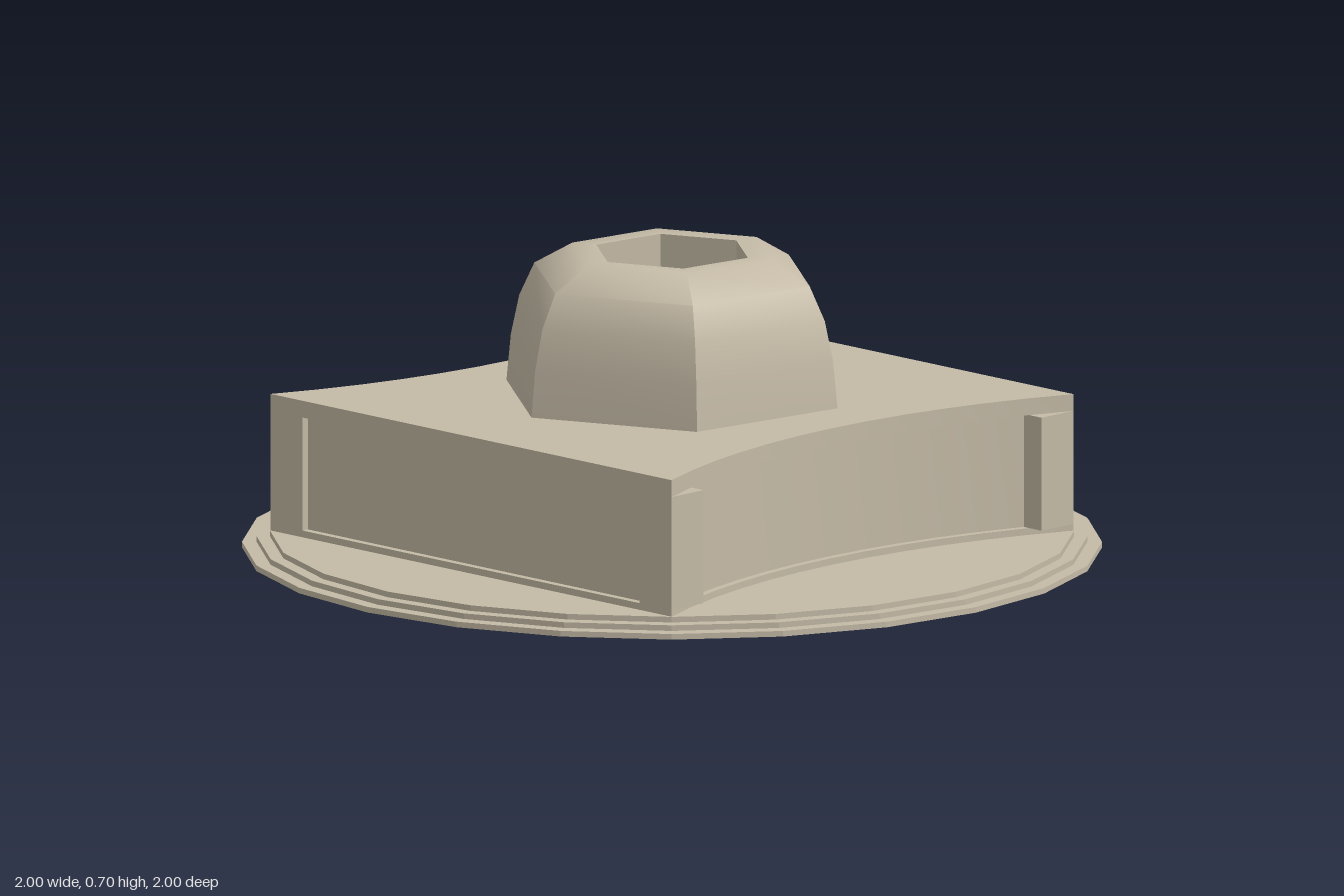
import * as THREE from 'three';
import { toCreasedNormals } from 'three/addons/utils/BufferGeometryUtils.js';

const stone = new THREE.MeshStandardMaterial({ color: 0xc4baa6 });
stone.name = 'warm stone';

function add(group, name, geometry, x = 0, y = 0, z = 0) {
  const mesh = new THREE.Mesh(geometry, stone);
  mesh.name = name;
  mesh.position.set(x, y, z);
  group.add(mesh);
}

// Square slab whose two x sides curve inward; inset shrinks it on all sides
function concaveSlab(inset, y0, y1) {
  const half = 0.66 - inset, radius = 1.68, steps = 12;
  const shape = new THREE.Shape();
  for (const side of [1, -1]) {
    for (let i = 0; i <= steps; i++) {
      const z = side * half * (2 * i / steps - 1);
      const x = side * (2.205 - inset - Math.sqrt(radius * radius - z * z));
      if (side === 1 && i === 0) shape.moveTo(x, z);
      else shape.lineTo(x, z);
    }
  }
  const geo = new THREE.ExtrudeGeometry(shape, { depth: y1 - y0, bevelEnabled: false });
  geo.rotateX(-Math.PI / 2).translate(0, y0, 0);
  return toCreasedNormals(geo, 0.4);
}

export function createModel() {
  const model = new THREE.Group();
  model.name = 'pedestal';

  // Stepped round base
  [1, 0.966, 0.935].forEach((r, i) => {
    const h = 0.0133 * (i + 1);
    const disc = toCreasedNormals(new THREE.CylinderGeometry(r, r, h, 24), 0.1);
    add(model, 'baseStep' + (i + 1), disc, 0, h / 2, 0);
  });

  // Block: bottom rim, recessed panel core and top slab
  add(model, 'bottomRim', concaveSlab(0, 0.04, 0.056));
  add(model, 'panelCore', concaveSlab(0.018, 0.056, 0.325));
  add(model, 'topSlab', concaveSlab(0, 0.325, 0.365));

  // Corner posts framing the recessed panels
  for (const sx of [-1, 1]) {
    for (const sz of [-1, 1]) {
      add(model, 'cornerPost', new THREE.BoxGeometry(0.105, 0.269, 0.105), sx * 0.6075, 0.1905, sz * 0.6075);
    }
  }

  // Six-sided domed socket with an open hexagonal hole
  const profile = [
    [0.415, 0.365], [0.404, 0.475], [0.383, 0.57], [0.345, 0.65],
    [0.25, 0.705], [0.19, 0.705], [0.19, 0.365],
  ].map(([r, y]) => new THREE.Vector2(r, y));
  const dome = new THREE.LatheGeometry(profile, 6, -0.12);
  add(model, 'hexSocket', toCreasedNormals(dome, 0.78));

  return model;
}
